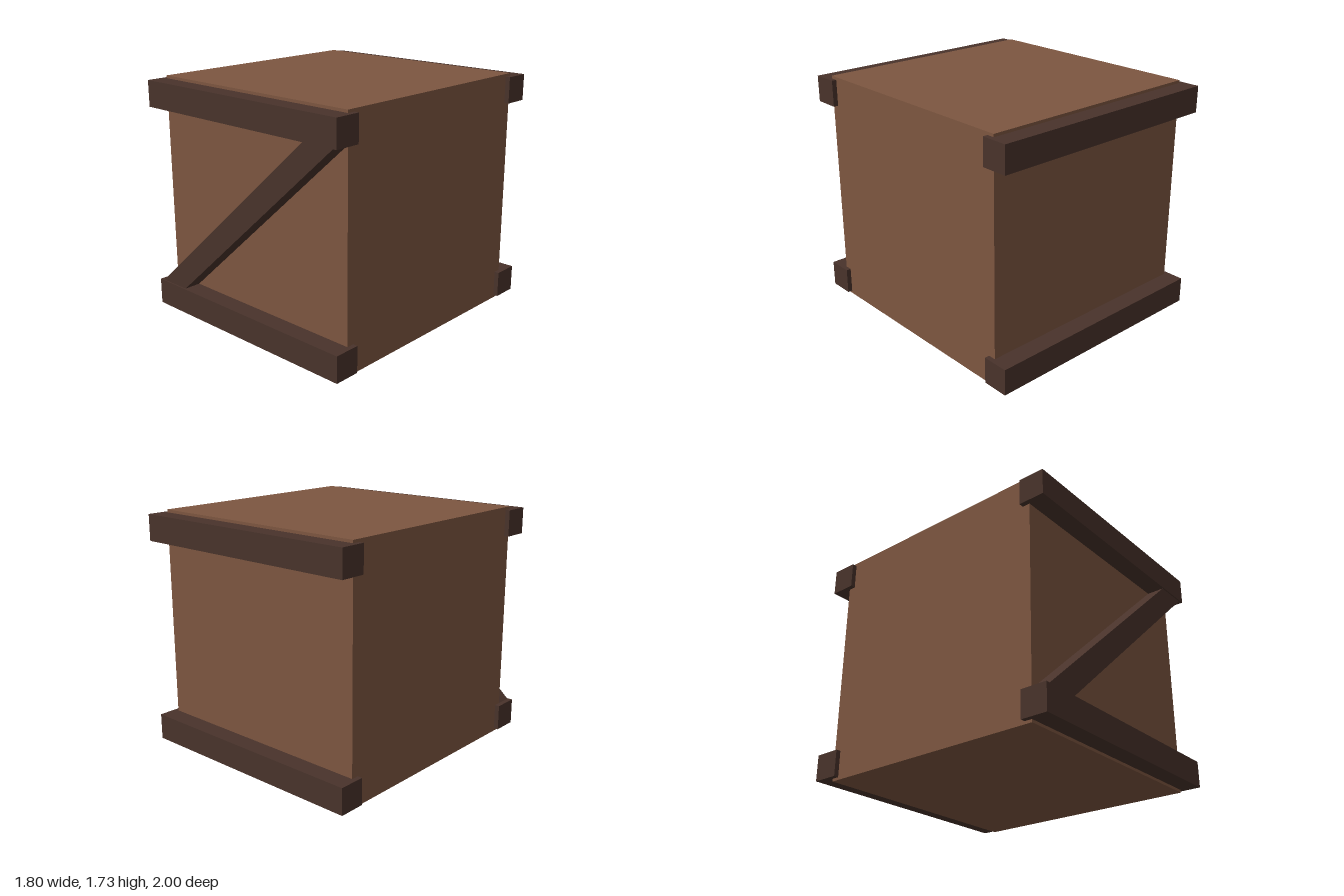
import * as THREE from 'three';

export function createModel() {
  const crate = new THREE.Group();
  crate.name = 'crate';

  const lightWood = new THREE.MeshStandardMaterial({ color: 0x7d5640 });
  lightWood.name = 'lightWood';
  const darkWood = new THREE.MeshStandardMaterial({ color: 0x49332b });
  darkWood.name = 'darkWood';

  const add = (name, geometry, material, x, y, z) => {
    const mesh = new THREE.Mesh(geometry, material);
    mesh.name = name;
    mesh.position.set(x, y, z);
    crate.add(mesh);
  };

  // Main box
  add('body', new THREE.BoxGeometry(1.73, 1.73, 1.73), lightWood, 0, 0.865, 0);

  // Four horizontal beams, along the front and back edges
  const beam = new THREE.BoxGeometry(1.8, 0.19, 0.19);
  for (const [side, z] of [['front', 0.905], ['back', -0.905]]) {
    add(side + 'LowerBeam', beam, darkWood, 0, 0.115, z);
    add(side + 'UpperBeam', beam, darkWood, 0, 1.615, z);
  }

  // Diagonal brace on the front, cut level where it meets the beams
  const brace = new THREE.Shape([
    new THREE.Vector2(-0.865, 0.21),
    new THREE.Vector2(-0.615, 0.21),
    new THREE.Vector2(0.865, 1.52),
    new THREE.Vector2(0.615, 1.52),
  ]);
  const braceGeometry = new THREE.ExtrudeGeometry(brace, { depth: 0.125, bevelEnabled: false });
  add('diagonalBrace', braceGeometry, darkWood, 0, 0, 0.865);

  return crate;
}
